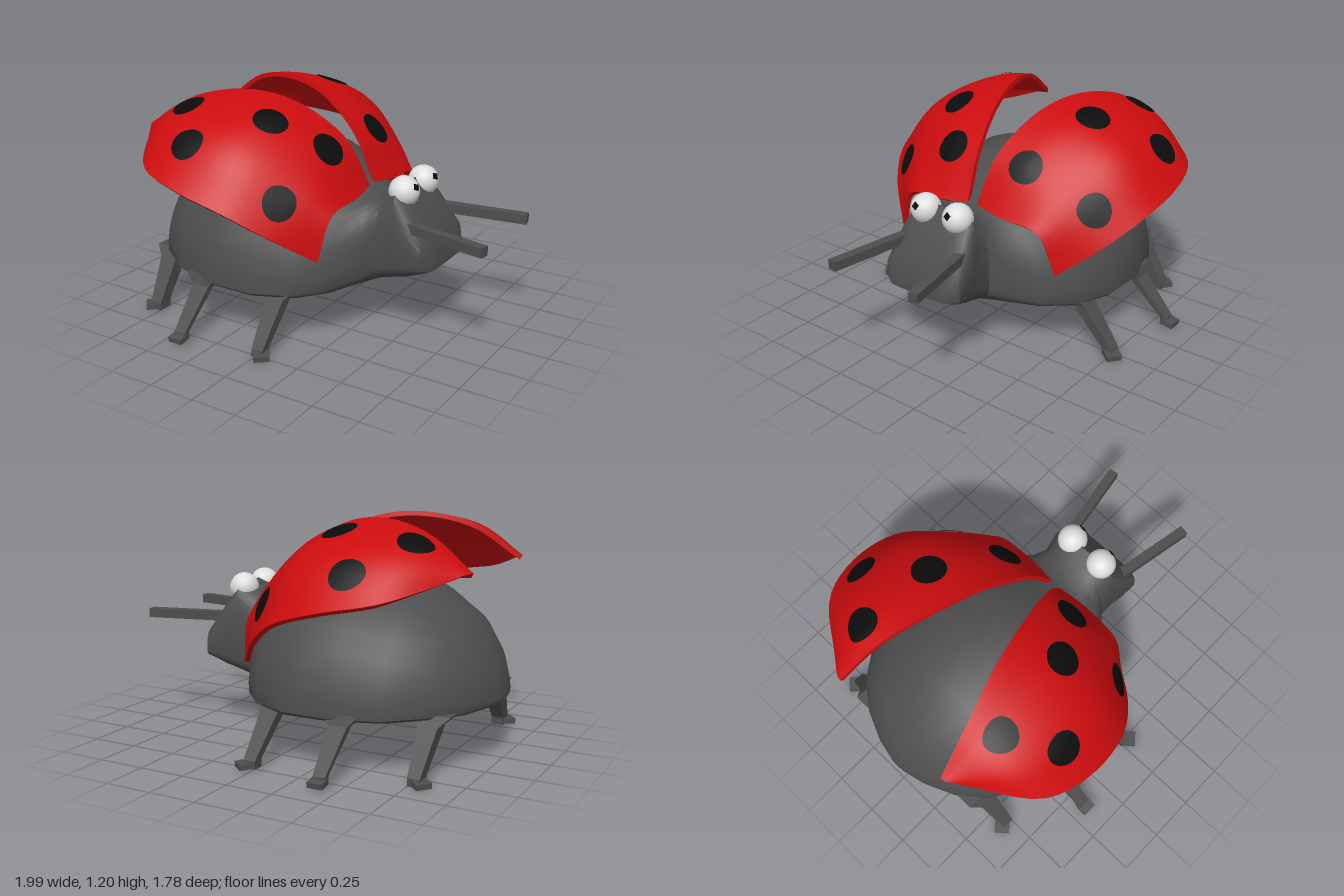
import * as THREE from 'three';
import { toCreasedNormals } from 'three/addons/utils/BufferGeometryUtils.js';

const V = (x, y, z) => new THREE.Vector3(x, y, z);

function mat(name, color) {
  const m = new THREE.MeshStandardMaterial({ color });
  m.name = name;
  return m;
}

// Closed skin through equal-length rings; ends are stitched across, winding is made outward
function loft(rings, crease) {
  const m = rings[0].length, idx = [], pts = rings.flat();
  const quad = (a, b, c, d) => idx.push(a, b, c, a, c, d);
  for (let r = 0; r < rings.length - 1; r++) {
    for (let i = 0; i < m; i++) {
      const j = (i + 1) % m;
      quad(r * m + i, r * m + j, (r + 1) * m + j, (r + 1) * m + i);
    }
  }
  const last = (rings.length - 1) * m;
  for (let i = 0; i < m / 2 - 1; i++) {
    quad(i, m - 1 - i, m - 2 - i, i + 1);
    quad(last + i, last + i + 1, last + m - 2 - i, last + m - 1 - i);
  }
  let volume = 0;
  for (let i = 0; i < idx.length; i += 3) {
    volume += pts[idx[i]].dot(pts[idx[i + 1]].clone().cross(pts[idx[i + 2]]));
  }
  if (volume < 0) idx.reverse();
  const g = new THREE.BufferGeometry().setFromPoints(pts);
  g.setIndex(idx);
  return toCreasedNormals(g, crease);
}

// Body and head sections: x, bottom, widest height, top, half width, squareness (1 = round)
const BODY = [
  [-1, 0.31, 0.32, 0.34, 0.04, 1], [-0.97, 0.29, 0.32, 0.47, 0.17, 1],
  [-0.9, 0.275, 0.31, 0.6, 0.33, 1], [-0.8, 0.265, 0.31, 0.73, 0.46, 1],
  [-0.6, 0.25, 0.3, 0.86, 0.6, 1], [-0.35, 0.235, 0.3, 0.94, 0.67, 1],
  [-0.1, 0.225, 0.3, 0.92, 0.66, 1], [0.1, 0.235, 0.3, 0.84, 0.58, 1],
  [0.22, 0.25, 0.31, 0.745, 0.46, 1], [0.31, 0.265, 0.35, 0.74, 0.29, 0.8],
  [0.37, 0.28, 0.4, 0.765, 0.22, 0.6], [0.46, 0.305, 0.42, 0.81, 0.22, 0.4],
  [0.53, 0.33, 0.43, 0.72, 0.235, 0.45], [0.63, 0.38, 0.43, 0.57, 0.24, 0.5],
  [0.67, 0.4, 0.41, 0.44, 0.18, 0.6],
];

function bodyGeometry() {
  const n = 32, pw = (v, e) => Math.sign(v) * Math.abs(v) ** e;
  return loft(BODY.map(([x, yb, ye, yt, w, e]) => Array.from({ length: n }, (_, i) => {
    const a = ((i + 0.5) / n) * Math.PI * 2, c = Math.cos(a), s = Math.sin(a);
    return s > 0
      ? V(x, ye + (yt - ye) * pw(s, e), w * pw(c, e))
      : V(x, ye + (ye - yb) * pw(s, 0.7), w * pw(c, 0.7));
  })), 0.75);
}

// Horizontal rectangle ring
const rect = ([x, y, z, w, d]) => [
  V(x - w / 2, y, z - d / 2), V(x + w / 2, y, z - d / 2),
  V(x + w / 2, y, z + d / 2), V(x - w / 2, y, z + d / 2)];

// Straight bar between two points
function bar(a, b, w, h, material) {
  const mesh = new THREE.Mesh(new THREE.BoxGeometry(w, h, a.distanceTo(b)), material);
  mesh.position.copy(a).lerp(b, 0.5);
  mesh.lookAt(b);
  return mesh;
}

// Wing rows from front to rear tip; each runs from inner edge to outer edge (x, y, z)
const WING = [
  [[0.23, 0.74, 0.03], [0.25, 0.72, 0.2], [0.24, 0.69, 0.42], [0.21, 0.47, 0.51]],
  [[0.1, 0.98, 0.06], [0.1, 0.95, 0.28], [0.1, 0.83, 0.5], [0.04, 0.63, 0.7]],
  [[-0.15, 1.155, 0.13], [-0.15, 1.12, 0.37], [-0.15, 1.0, 0.62], [-0.14, 0.75, 0.81]],
  [[-0.41, 1.205, 0.2], [-0.41, 1.16, 0.42], [-0.41, 1.05, 0.64], [-0.4, 0.83, 0.84]],
  [[-0.7, 1.15, 0.29], [-0.7, 1.125, 0.42], [-0.69, 1.04, 0.59], [-0.66, 0.88, 0.76]],
  [[-0.95, 0.985, 0.35], [-0.94, 0.985, 0.38], [-0.92, 0.98, 0.41], [-0.9, 0.965, 0.44]],
];

function wingSurface(side) {
  const rows = WING.map(r => new THREE.CatmullRomCurve3(r.map(([x, y, z]) => V(x, y, z * side))));
  const at = (u, v) => new THREE.CatmullRomCurve3(rows.map(r => r.getPoint(v))).getPoint(u);
  // Tangents and outward normal
  const frame = (u, v) => {
    const h = 0.01, u0 = Math.max(0, u - h), u1 = Math.min(1, u + h);
    const v0 = Math.max(0, v - h), v1 = Math.min(1, v + h);
    const p = at(u, v);
    const su = at(u1, v).sub(at(u0, v)).divideScalar(u1 - u0);
    const sv = at(u, v1).sub(at(u, v0)).divideScalar(v1 - v0);
    const n = su.clone().cross(sv).normalize();
    if (n.dot(p.clone().sub(V(-0.35, 0.4, 0.35 * side))) < 0) n.negate();
    return { p, su, sv, n };
  };
  return { at, frame };
}

// Thick curved shell
function wingGeometry(surf) {
  const rings = [];
  for (let i = 0; i <= 24; i++) {
    const outer = [], inner = [];
    for (let j = 0; j <= 16; j++) {
      const { p, n } = surf.frame(i / 24, j / 16);
      outer.push(p);
      inner.unshift(p.clone().addScaledVector(n, -0.025));
    }
    rings.push([...outer, ...inner]);
  }
  return loft(rings, 0.7);
}

// Round patch wrapped on the wing around plan position x, z
function spotGeometry(surf, x, z, radius) {
  let best = Infinity, cu = 0, cv = 0;
  for (let i = 0; i <= 40; i++) for (let j = 0; j <= 40; j++) {
    const p = surf.at(i / 40, j / 40), d = Math.hypot(p.x - x, p.z - z);
    if (d < best) { best = d; cu = i / 40; cv = j / 40; }
  }
  const { su, sv, n } = surf.frame(cu, cv);
  const t1 = su.clone().normalize(), t2 = n.clone().cross(t1);
  const e = su.dot(su), f = su.dot(sv), g = sv.dot(sv), det = e * g - f * f;
  const geo = new THREE.RingGeometry(0.001, radius, 22, 4), pos = geo.attributes.position;
  for (let i = 0; i < pos.count; i++) {
    const d = t1.clone().multiplyScalar(pos.getX(i)).addScaledVector(t2, pos.getY(i));
    const a = d.dot(su), b = d.dot(sv);
    const q = surf.frame(
      THREE.MathUtils.clamp(cu + (g * a - f * b) / det, 0, 1),
      THREE.MathUtils.clamp(cv + (e * b - f * a) / det, 0, 1));
    q.p.addScaledVector(q.n, 0.006);
    pos.setXYZ(i, q.p.x, q.p.y, q.p.z);
  }
  geo.computeVertexNormals();
  return geo;
}

const SPOTS = {
  1: [[-0.62, 0.43], [-0.43, 0.68], [-0.16, 0.39], [0.05, 0.59], [0.11, 0.23]],
  '-1': [[-0.71, -0.43], [-0.48, -0.7], [-0.28, -0.4], [0.02, -0.61], [0.1, -0.24]],
};

// Legs: hip, ankle and toe (x, y, z), then depth of the shin
const LEGS = [
  { hip: [0.01, 0.28, 0.56], ankle: [0.02, 0.03, 0.74], toe: [0.07, 0.025, 0.8], d: 0.06 },
  { hip: [-0.41, 0.28, 0.64], ankle: [-0.41, 0.045, 0.83], toe: [-0.41, 0.035, 0.89], d: 0.035 },
  { hip: [-0.79, 0.28, 0.43], ankle: [-0.78, 0.025, 0.57], toe: [-0.84, 0.02, 0.62], d: 0.08 },
];

export function createModel() {
  const model = new THREE.Group();
  const grey = mat('charcoal grey', 0x4e4e4e), red = mat('shell red', 0xcc0c0e);
  const black = mat('spot black', 0x0c0c0c), white = mat('eye white', 0xdedede);
  const add = (name, geo, material, parent = model) => {
    const m = new THREE.Mesh(geo, material);
    m.name = name;
    parent.add(m);
    return m;
  };

  add('bodyAndHead', bodyGeometry(), grey);

  for (const s of [1, -1]) {
    // Raised wing case with spots
    const wing = new THREE.Group();
    wing.name = 'wingCase';
    model.add(wing);
    const surf = wingSurface(s);
    add('wingShell', wingGeometry(surf), red, wing);
    for (const [x, z] of SPOTS[s]) add('wingSpot', spotGeometry(surf, x, z, 0.09), black, wing);

    // Eye with small square pupil
    const eye = add('eye', new THREE.SphereGeometry(0.08, 24, 16), white);
    eye.position.set(0.47, 0.775, 0.103 * s);
    const look = V(0.88, 0.42, 0.1).normalize();
    const pupil = add('pupil', new THREE.BoxGeometry(0.03, 0.03, 0.008), black, eye);
    pupil.position.copy(look).multiplyScalar(0.079);
    pupil.quaternion.setFromUnitVectors(V(0, 0, 1), look);

    // Antenna
    const antenna = bar(V(0.5, 0.622, 0.175 * s), V(0.99, 0.614, 0.262 * s), 0.052, 0.05, grey);
    antenna.name = 'antenna';
    model.add(antenna);

    // Legs
    for (const { hip, ankle, toe, d } of LEGS) {
      const leg = new THREE.Group();
      leg.name = 'leg';
      model.add(leg);
      const [hx, hy, hz] = hip, [ax, ay, az] = ankle;
      add('shin', loft([
        rect([hx, hy + 0.03, (hz - 0.05) * s, 0.2, 0.12]),
        rect([hx, hy - 0.02, hz * s, 0.1, d + 0.02]),
        rect([ax, ay + 0.02, az * s, 0.065, d]),
        rect([ax, ay - 0.02, az * s, 0.065, d]),
      ], 0.3), grey, leg);
      const foot = bar(V(ax, ay, az * s), V(toe[0], toe[1], toe[2] * s), 0.08, 0.028, grey);
      foot.name = 'foot';
      leg.add(foot);
    }
  }
  return model;
}
